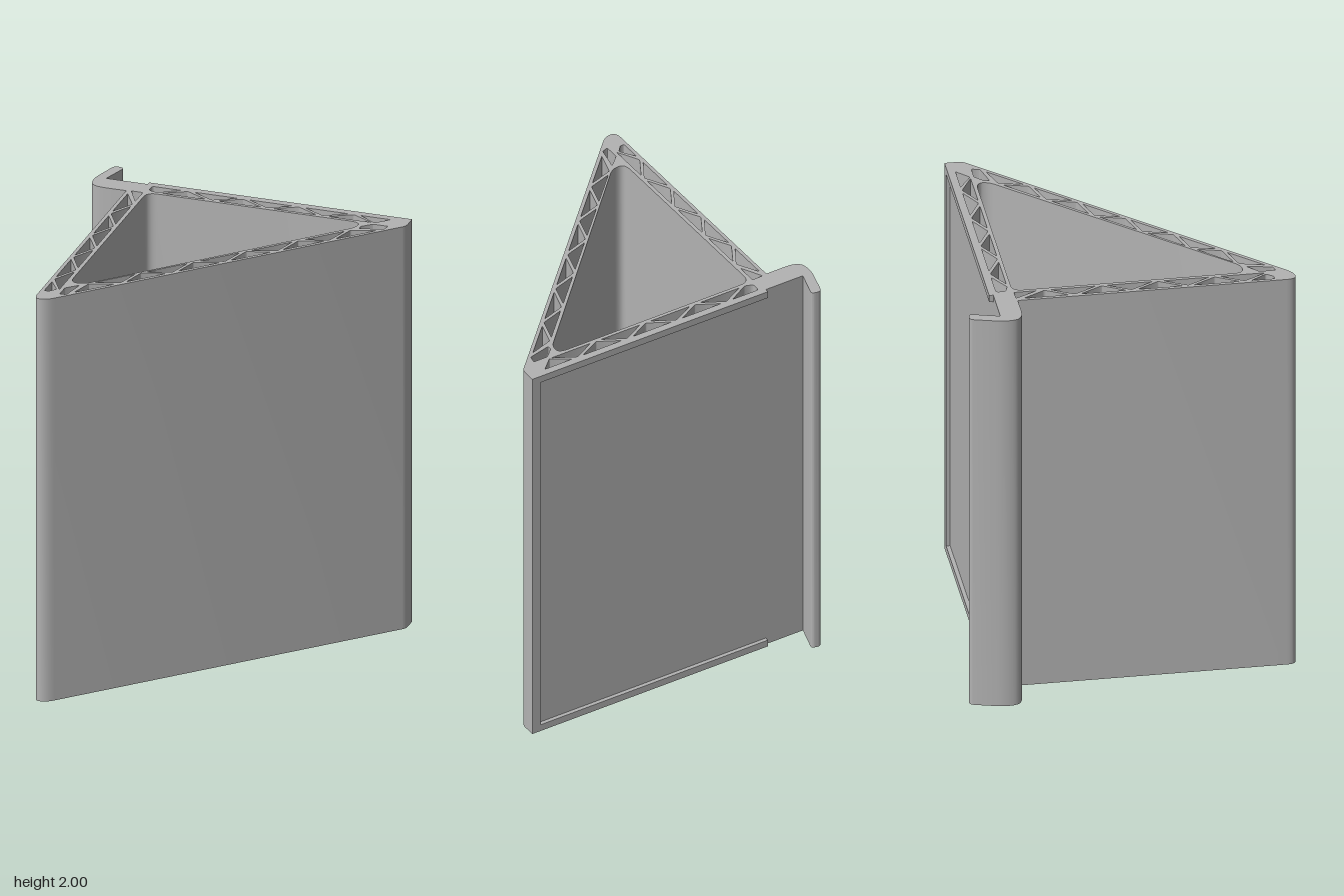
import * as THREE from 'three';
import { toCreasedNormals } from 'three/addons/utils/BufferGeometryUtils.js';

const HEIGHT = 2;

// Trace a closed outline of [x, z, cornerRadius] points with rounded corners
function trace(path, points, defaultRadius = 0) {
  const n = points.length;
  const v = points.map(([x, z]) => new THREE.Vector2(x, -z));
  for (let i = 0; i < n; i++) {
    const p = v[i], a = v[(i + n - 1) % n], b = v[(i + 1) % n];
    const r = points[i][2] ?? defaultRadius;
    const toward = (q) => p.clone().add(q.clone().sub(p).setLength(Math.min(r, p.distanceTo(q) * 0.5)));
    const start = toward(a), end = toward(b);
    if (i === 0) path.moveTo(start.x, start.y);
    else path.lineTo(start.x, start.y);
    if (r > 0) path.quadraticCurveTo(p.x, p.y, end.x, end.y);
  }
  path.closePath();
  return path;
}

// Triangular cell: flat side on one wall, apex on the other, placed by (along, across)
function cell(place, centre, base, apex) {
  return [place(centre - 0.105, base), place(centre, apex), place(centre + 0.105, base)];
}

export function createModel() {
  const model = new THREE.Group();
  const grey = new THREE.MeshStandardMaterial({ color: 0xb3b3b3 });
  grey.name = 'grey';

  // Outer section: triangle with a hooked lip at the back right corner
  const section = trace(new THREE.Shape(), [
    [0.76, -0.622], [-0.707, -0.622], [-0.667, -0.757, 0.015], [-0.716, -0.77, 0.03],
    [-0.763, -0.6, 0.05], [-0.745, -0.52, 0.07], [-0.575, -0.52],
    [-0.575, 0.765, 0.045], [-0.516, 0.765, 0.045], [0.76, -0.56, 0.02],
  ]);

  const holes = [];

  // Large triangular cavity
  const cavity = [[-0.479, -0.53, 0.05], [0.548, -0.53, 0.05], [0.548, -0.473, 0.035],
    [-0.412, 0.537, 0.035], [-0.479, 0.537, 0.05]];
  holes.push(trace(new THREE.Path(), cavity));

  const cells = [];

  // Back wall truss
  const back = (s, n) => [s, n];
  for (const x of [-0.307, -0.04, 0.227, 0.493]) cells.push(cell(back, x, -0.547, -0.603));
  for (const x of [-0.173, 0.093, 0.36]) cells.push(cell(back, x, -0.605, -0.549));
  cells.push([[-0.48, -0.605, 0.015], [-0.34, -0.605], [-0.44, -0.547], [-0.48, -0.56, 0.015]]);
  cells.push([[0.523, -0.605], [0.67, -0.605], [0.61, -0.548]]);

  // Right wall truss
  const side = (s, n) => [n, s];
  for (const z of [-0.253, 0.008, 0.269, 0.53]) cells.push(cell(side, z, -0.497, -0.555));
  for (const z of [-0.385, -0.122, 0.139, 0.4]) cells.push(cell(side, z, -0.558, -0.499));
  cells.push([[-0.552, -0.525], [-0.497, -0.525], [-0.497, -0.42]]);
  cells.push([[-0.558, 0.56], [-0.51, 0.635], [-0.537, 0.667], [-0.558, 0.667]]);

  // Diagonal wall truss
  const diagonal = (s, n) => [0.694 * s + 0.72 * n, -0.72 * s + 0.694 * n];
  for (let k = -3; k <= 2; k++) cells.push(cell(diagonal, 0.148 + 0.267 * k, 0.142, 0.086));
  for (let k = -2; k <= 2; k++) cells.push(cell(diagonal, 0.015 + 0.267 * k, 0.084, 0.14));
  cells.push([[0.565, -0.488], [0.61, -0.53], [0.682, -0.53], [0.675, -0.492], [0.565, -0.465]]);
  cells.push([[-0.479, 0.61], [-0.425, 0.558], [-0.448, 0.675], [-0.479, 0.685]]);

  for (const c of cells) holes.push(trace(new THREE.Path(), c, 0.006));
  section.holes.push(...holes);

  const geometry = new THREE.ExtrudeGeometry(section, { depth: HEIGHT, bevelEnabled: false, curveSegments: 6 });
  geometry.rotateX(-Math.PI / 2);
  const body = new THREE.Mesh(toCreasedNormals(geometry, 0.6), grey);
  body.name = 'trussBody';
  model.add(body);

  // Raised rim around the back panel, open on the hook side
  const rim = new THREE.Group();
  rim.name = 'backRim';
  const strip = (name, x0, x1, y0, y1) => {
    const mesh = new THREE.Mesh(new THREE.BoxGeometry(x1 - x0, y1 - y0, 0.019), grey);
    mesh.position.set((x0 + x1) / 2, (y0 + y1) / 2, -0.6315);
    mesh.name = name;
    rim.add(mesh);
  };
  strip('topRim', -0.507, 0.76, HEIGHT - 0.035, HEIGHT);
  strip('bottomRim', -0.507, 0.76, 0, 0.035);
  strip('leftRim', 0.715, 0.76, 0.035, HEIGHT - 0.035);
  model.add(rim);

  return model;
}
